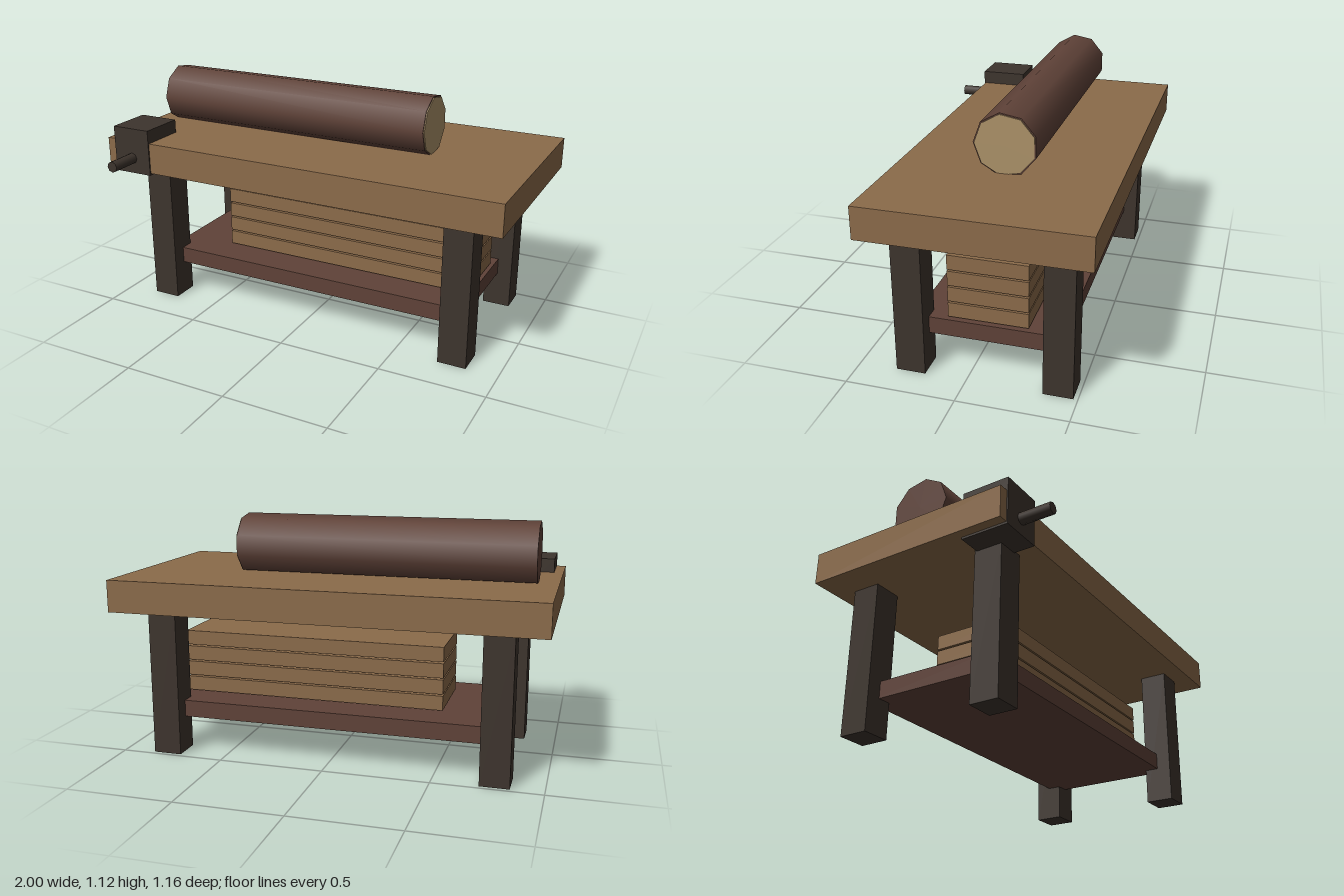
import * as THREE from 'three';

export function createModel() {
  const bench = new THREE.Group();
  bench.name = 'workbench';

  const material = (name, color) => {
    const m = new THREE.MeshStandardMaterial({ color });
    m.name = name;
    return m;
  };
  const wood = material('light wood', 0x8b6b4a);
  const bark = material('dark brown wood', 0x5f4238);
  const dark = material('blackened wood', 0x3d342d);
  const cutWood = material('cut wood', 0xab9168);

  const add = (name, geometry, mat, x, y, z) => {
    const mesh = new THREE.Mesh(geometry, mat);
    mesh.name = name;
    mesh.position.set(x, y, z);
    bench.add(mesh);
    return mesh;
  };
  // Box given by its minimum and maximum along each axis
  const box = (name, mat, [x0, x1], [y0, y1], [z0, z1]) =>
    add(name, new THREE.BoxGeometry(x1 - x0, y1 - y0, z1 - z0), mat,
      (x0 + x1) / 2, (y0 + y1) / 2, (z0 + z1) / 2);

  box('tabletop', wood, [-1, 1], [0.7, 0.85], [-0.58, 0.42]);
  box('shelf', bark, [-0.78, 0.78], [0.17, 0.25], [-0.41, 0.255]);

  // Four square legs
  for (const x of [-0.7825, 0.7825]) {
    for (const z of [-0.4125, 0.2575]) {
      box('leg', dark, [x - 0.0675, x + 0.0675], [0, 0.7], [z - 0.0675, z + 0.0675]);
    }
  }

  // Stack of planks with narrow gaps
  for (let i = 0; i < 4; i++) {
    const y = 0.259 + i * 0.077;
    box('plank', wood, [-0.51, 0.765], [y, y + 0.069], [-0.26, 0.105]);
  }

  // Nine-sided log, with a pale sawn face on its left end
  const log = add('log', new THREE.CylinderGeometry(0.145, 0.145, 1.41, 9), bark, -0.2, 0.98, -0.08);
  log.rotation.z = -Math.PI / 2;
  const sawnFace = add('sawnFace', new THREE.CylinderGeometry(0.139, 0.139, 0.006, 9), cutWood, 0.507, 0.98, -0.08);
  sawnFace.rotation.z = -Math.PI / 2;

  // Vise block and its screw handle
  box('viseBlock', dark, [-0.956, -0.756], [0.69, 0.915], [0.2, 0.426]);
  const handle = add('viseHandle', new THREE.CylinderGeometry(0.027, 0.027, 0.165, 8), dark, -0.857, 0.765, 0.4955);
  handle.rotation.x = Math.PI / 2;

  return bench;
}
